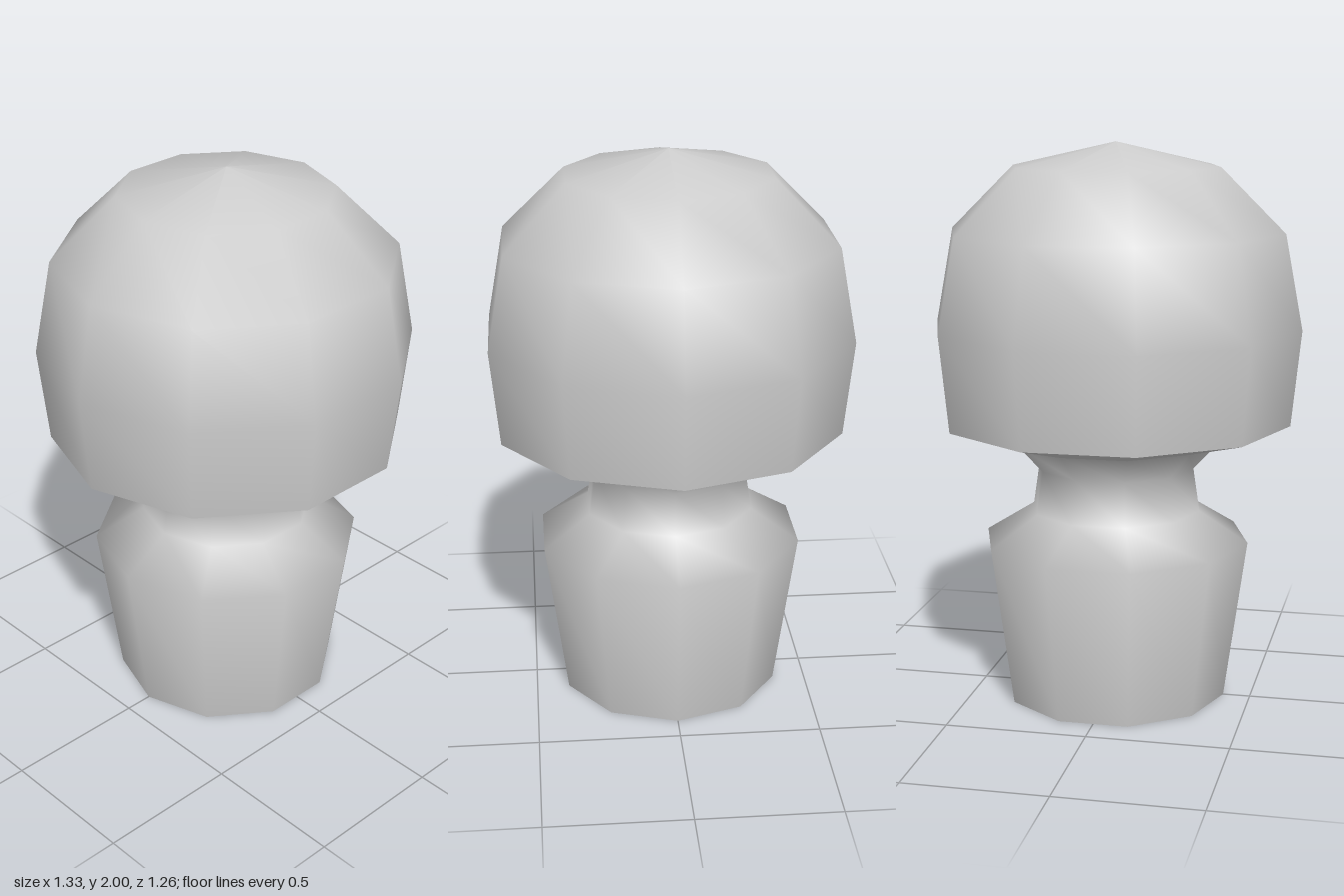
import * as THREE from 'three';

const SIDES = 10;

export function createModel() {
  const group = new THREE.Group();
  group.name = 'pegFigure';
  const material = new THREE.MeshStandardMaterial({ color: 0xcccccc });

  // Ten-sided turned part with corners on the x axis; profile runs bottom to top
  function turned(name, profile) {
    const points = profile.map(([r, y]) => new THREE.Vector2(r, y));
    const mesh = new THREE.Mesh(new THREE.LatheGeometry(points, SIDES, Math.PI / 2), material);
    mesh.name = name;
    group.add(mesh);
  }

  // Separate parts keep the rims sharp while each surface stays smooth
  turned('base', [[0, 0], [0.402, 0]]);
  turned('bodyAndNeck', [[0.402, 0], [0.483, 0.58], [0.307, 0.69], [0.284, 0.845], [0.375, 0.945]]);
  turned('headUnderside', [[0.375, 0.945], [0.628, 1.015]]);
  turned('head', [[0.628, 1.015], [0.663, 1.355], [0.6, 1.69], [0.372, 1.915], [0, 2]]);

  return group;
}
